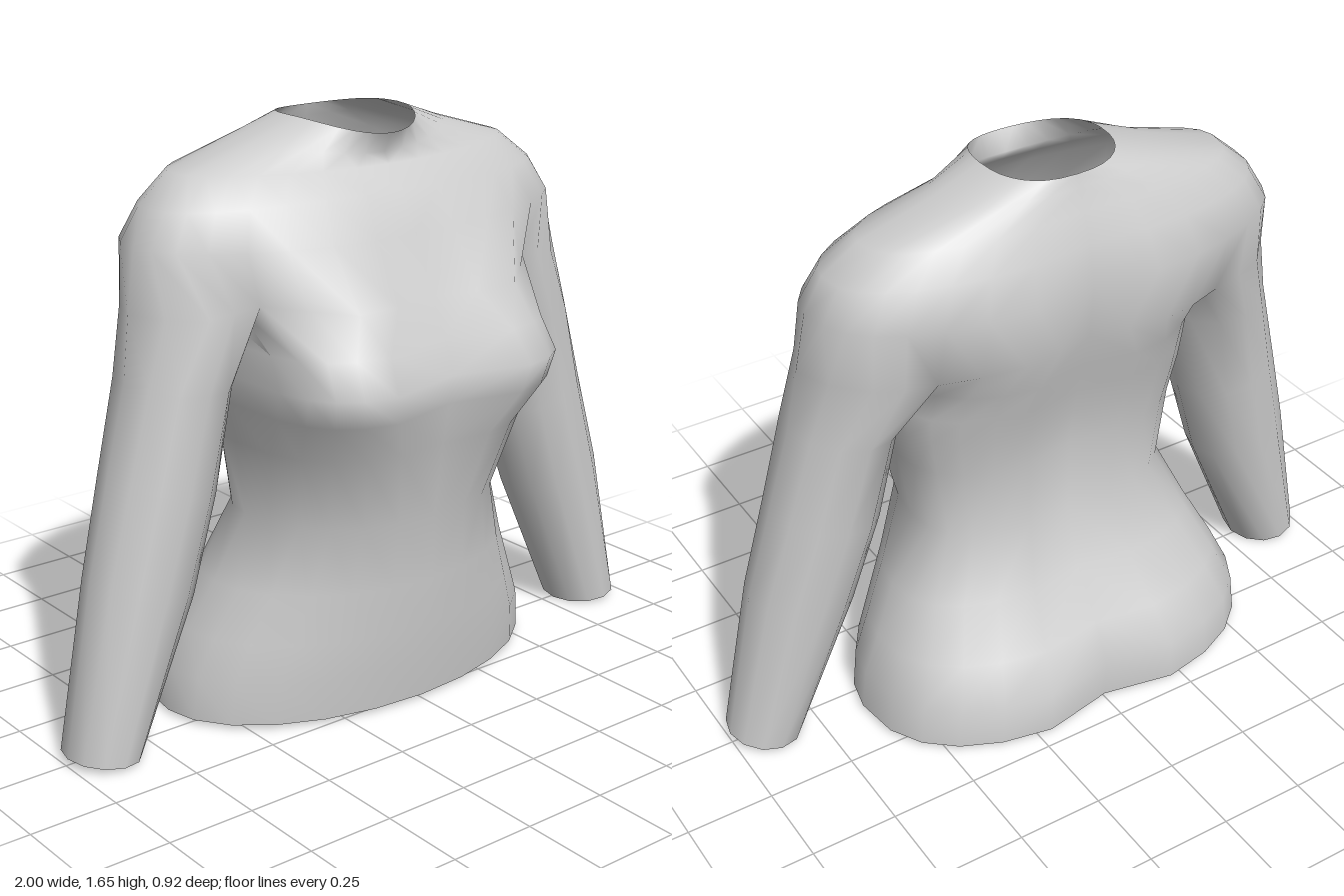
import * as THREE from 'three';
import { mergeVertices } from 'three/addons/utils/BufferGeometryUtils.js';

// Armpit-level curve of the left half: front centre, chest, front armpit,
// round the arm, back armpit, shoulder blade, back centre
const ARMPIT = [[0, 1.2, 0.31], [0.27, 1.2, 0.345], [0.46, 1.22, 0.17], [0.6, 1.2, 0.145], [0.73, 1.2, -0.04],
  [0.61, 1.2, -0.23], [0.44, 1.18, -0.265], [0.22, 1.2, -0.342], [0, 1.2, -0.3]];

// Shoulders up to the neck rim: half width; y at front, side, back; z at front, side, back; front and back dip
const YOKE = [
  [0.7, 1.36, 1.37, 1.36, 0.255, -0.05, -0.35, 0.015, 0.035],
  [0.645, 1.47, 1.46, 1.47, 0.195, -0.05, -0.315, 0.005, 0.025],
  [0.55, 1.53, 1.54, 1.55, 0.13, -0.07, -0.275, 0, 0.015],
  [0.33, 1.56, 1.605, 1.61, 0.11, -0.07, -0.245, 0, 0.005],
  [0.185, 1.615, 1.655, 1.645, 0.14, -0.06, -0.23, 0, 0],
];

// Torso from the hem up: half width; y; z at front, side, back; front and back dip; front roundness
const TORSO = [
  [0.62, 0.02, 0.29, -0.08, -0.47, 0, 0.055, 1],
  [0.605, 0.14, 0.305, -0.08, -0.465, 0, 0.045, 1],
  [0.555, 0.25, 0.315, -0.07, -0.4, 0, 0.04, 1],
  [0.485, 0.39, 0.325, -0.04, -0.305, 0, 0.035, 1],
  [0.395, 0.58, 0.333, -0.01, -0.235, 0, 0.025, 0.9],
  [0.43, 0.8, 0.395, 0, -0.245, 0.03, 0.035, 0.75],
  [0.455, 0.92, 0.45, 0, -0.27, 0.06, 0.04, 0.55],
  [0.46, 1, 0.468, 0, -0.29, 0.067, 0.04, 0.5],
  [0.455, 1.09, 0.415, -0.01, -0.32, 0.05, 0.045, 0.55],
];

// Sleeve from the cuff up: middle x, y, z; x and z radius; tilt
const SLEEVE = [
  [0.895, 0.02, 0.01, 0.105, 0.12, 0.012],
  [0.755, 0.46, 0, 0.15, 0.143, 0.04],
  [0.675, 0.73, -0.015, 0.155, 0.16, 0.04],
  [0.61, 1, -0.025, 0.15, 0.175, 0.02],
];

// Smooth line through control points, two steps per gap
const spline = (pts) =>
  new THREE.CatmullRomCurve3(pts.map((p) => new THREE.Vector3(...p))).getPoints((pts.length - 1) * 2);

// Half cross-section from front centre round the left side to back centre,
// rounded differently in front and behind, with a dip along the middle
function section(steps, w, [yFront, ySide, yBack], [zFront, zSide, zBack], frontDip, backDip, roundness) {
  return Array.from({ length: steps + 1 }, (_, i) => {
    const a = (Math.PI * i) / steps;
    const c = Math.cos(a), front = c > 0;
    const power = front ? roundness : 0.8;
    const x = i === steps ? 0 : w * Math.sin(a) ** power;
    const dip = Math.exp(-((x / 0.12) ** 2)) * (front ? -frontDip : backDip);
    const z = zSide + ((front ? zFront : zBack) - zSide) * Math.abs(c) ** power;
    const y = ySide + ((front ? yFront : yBack) - ySide) * c * c;
    return new THREE.Vector3(x, y, z + (Math.abs(c) > 0.1 ? dip : 0));
  });
}

// Closed sleeve ring, starting at the front of the armpit
function sleeveRing([cx, cy, cz, rx, rz, tilt]) {
  return Array.from({ length: 13 }, (_, j) => {
    const a = ((60 + 30 * (j % 12)) * Math.PI) / 180;
    return new THREE.Vector3(cx - rx * Math.cos(a), cy - tilt * Math.cos(a), cz + rz * Math.sin(a));
  });
}

export function createModel() {
  const fabric = new THREE.MeshStandardMaterial({ color: 0xcccccc, side: THREE.DoubleSide });
  fabric.name = 'grey fabric';

  // Underarm seam shared by torso and sleeve
  const base = spline(ARMPIT);
  const seam = spline([ARMPIT[2], [0.45, 1.16, -0.03], ARMPIT[6]]).slice(1, -1);

  const yoke = [base, ...YOKE.map(([w, yf, ys, yb, zf, zs, zb, frontDip, backDip]) =>
    section(16, w, [yf, ys, yb], [zf, zs, zb], frontDip, backDip, 1))];

  const torso = TORSO.map(([w, y, zf, zs, zb, frontDip, backDip, roundness]) =>
    section(12, w, [y, y, y], [zf, zs, zb], frontDip, backDip, roundness));
  torso.push([...base.slice(0, 5), ...seam, ...base.slice(12)]);

  const sleeve = SLEEVE.map(sleeveRing);
  sleeve.push([...base.slice(4, 13), ...[...seam].reverse(), base[4]]);

  // Skin between successive rings, on the side given by s (1 left, -1 right)
  const positions = [];
  const loft = (rings, s) => {
    for (let r = 0; r + 1 < rings.length; r++) {
      for (let i = 0; i + 1 < rings[r].length; i++) {
        const a = rings[r][i], b = rings[r][i + 1], c = rings[r + 1][i + 1], d = rings[r + 1][i];
        const corners = s > 0 ? [a, b, c, a, c, d] : [a, c, b, a, d, c];
        corners.forEach((p) => positions.push(p.x * s, p.y, p.z));
      }
    }
  };
  const ranges = {};
  const record = (name, build) => {
    const start = positions.length / 3;
    build();
    ranges[name] = [start, positions.length / 3];
  };
  record('bodice', () => {
    for (const s of [1, -1]) {
      loft(torso, s);
      loft(yoke, s);
    }
  });
  record('leftSleeve', () => loft(sleeve, 1));
  record('rightSleeve', () => loft(sleeve, -1));

  // Weld everything so shading runs smoothly across the seams
  const soup = new THREE.BufferGeometry();
  soup.setAttribute('position', new THREE.Float32BufferAttribute(positions, 3));
  const welded = mergeVertices(soup, 1e-4);
  welded.computeVertexNormals();
  const index = Array.from(welded.index.array);

  const group = new THREE.Group();
  group.name = 'longSleevedTop';
  for (const [name, [start, end]] of Object.entries(ranges)) {
    const geometry = welded.clone();
    geometry.setIndex(index.slice(start, end));
    const mesh = new THREE.Mesh(geometry, fabric);
    mesh.name = name;
    group.add(mesh);
  }
  return group;
}
